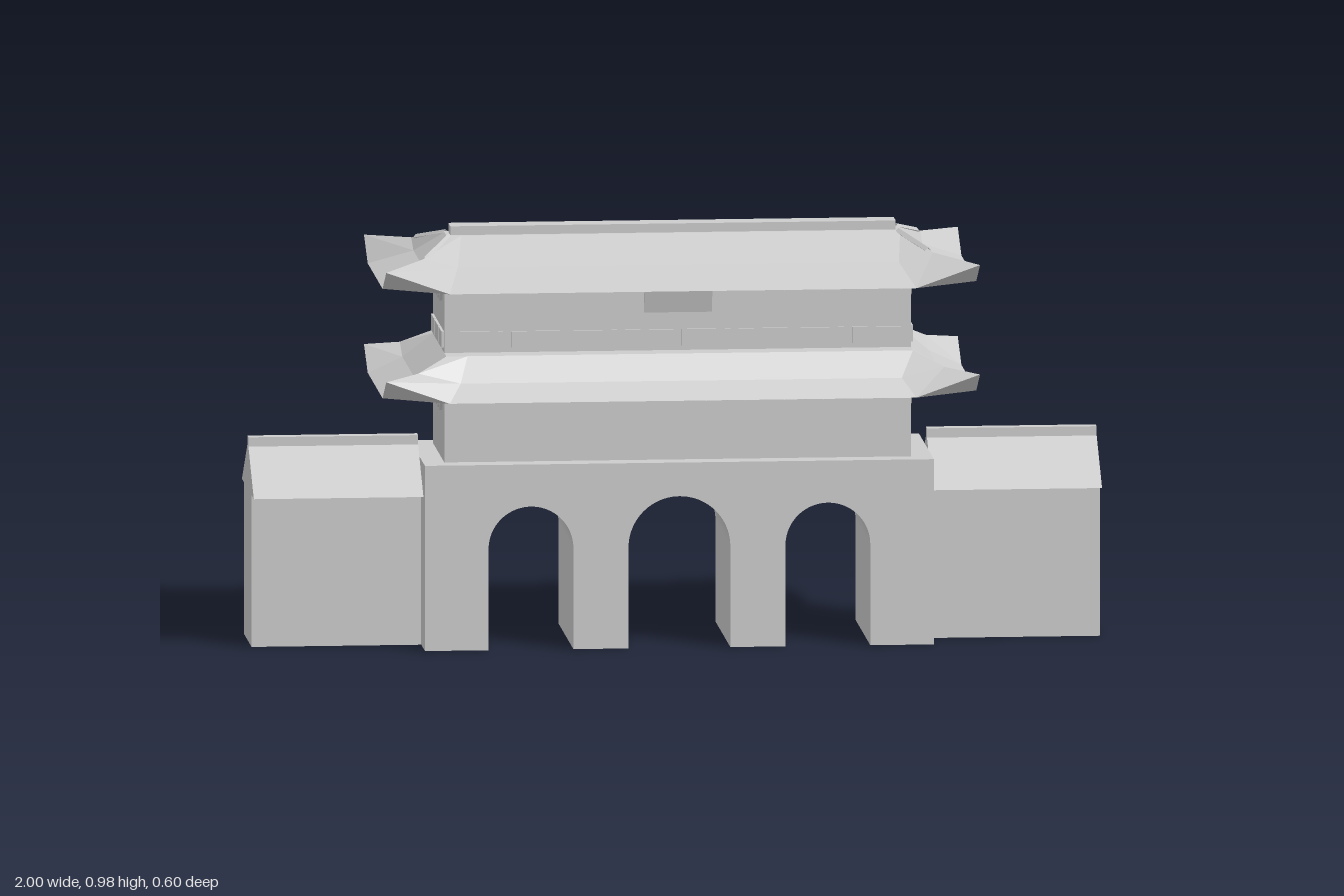
import * as THREE from 'three';
import { toCreasedNormals } from 'three/addons/utils/BufferGeometryUtils.js';

const material = new THREE.MeshStandardMaterial({ color: 0xcccccc, flatShading: true, side: THREE.DoubleSide });
const smooth = new THREE.MeshStandardMaterial({ color: 0xcccccc });

function add(parent, name, geometry, x = 0, y = 0, z = 0, mat = material) {
  const mesh = new THREE.Mesh(geometry, mat);
  mesh.name = name;
  mesh.position.set(x, y, z);
  parent.add(mesh);
  return mesh;
}

// Box given by its centre in x and z and its bottom and top heights
function block(parent, name, w, d, y0, y1, x = 0, z = 0) {
  return add(parent, name, new THREE.BoxGeometry(w, y1 - y0, d), x, (y0 + y1) / 2, z);
}

// Twelve points round a roof level: each lifted corner sits between two low points
function roofRing({ hx, hz, bx, bz, y, lift }) {
  const ring = [];
  for (const [sx, sz] of [[1, 1], [-1, 1], [-1, -1], [1, -1]]) {
    const side = [sx * hx, y, sz * bz];
    const corner = [sx * hx, y + lift, sz * hz];
    const face = [sx * bx, y, sz * hz];
    ring.push(...(sx * sz > 0 ? [side, corner, face] : [face, corner, side]));
  }
  return ring;
}

// Curved hip roof, skinned through its levels and closed above and below
function roofGeometry(levels) {
  const rings = levels.map(roofRing);
  const pos = [];
  const tri = (a, b, c) => pos.push(...a, ...b, ...c);
  const n = 12;
  for (let r = 0; r < rings.length - 1; r++) {
    for (let i = 0; i < n; i++) {
      const j = (i + 1) % n, lo = rings[r], hi = rings[r + 1];
      tri(lo[j], lo[i], hi[i]);
      tri(lo[j], hi[i], hi[j]);
    }
  }
  // Flat soffit with four upturned corner triangles
  const eave = rings[0], top = rings[rings.length - 1];
  const low = eave.filter((_, i) => i % 3 !== 1);
  low.forEach((p, i) => tri([0, levels[0].y, 0], p, low[(i + 1) % low.length]));
  for (let i = 0; i < n; i += 3) tri(eave[i], eave[i + 1], eave[i + 2]);
  const topY = levels[levels.length - 1].y;
  top.forEach((p, i) => tri([0, topY, 0], top[(i + 1) % n], p));
  const g = new THREE.BufferGeometry();
  g.setAttribute('position', new THREE.Float32BufferAttribute(pos, 3));
  g.computeVertexNormals();
  return g;
}

// Diamond brackets under the eaves on all four sides
function brackets(parent, y) {
  const group = new THREE.Group();
  group.name = 'eaveBrackets';
  const diamond = new THREE.CylinderGeometry(0.022, 0.022, 0.014, 4).rotateX(Math.PI / 2);
  for (const s of [-1, 1]) {
    for (let i = -11; i <= 11; i++) add(group, 'bracket', diamond, i * 0.046, y, s * 0.15);
    for (let i = -2; i <= 2; i++) add(group, 'bracket', diamond, s * 0.55, y, i * 0.046).rotation.y = Math.PI / 2;
  }
  parent.add(group);
}

export function createModel() {
  const model = new THREE.Group();
  model.name = 'gatehouse';

  // Stone base with three arched passages
  const outline = new THREE.Shape();
  outline.moveTo(-0.6, 0.44);
  outline.lineTo(-0.6, 0);
  for (const [cx, r] of [[-0.35, 0.1], [0, 0.12], [0.35, 0.1]]) {
    outline.lineTo(cx - r, 0);
    outline.lineTo(cx - r, 0.24);
    outline.absarc(cx, 0.24, r, Math.PI, 0, true);
    outline.lineTo(cx + r, 0);
  }
  outline.lineTo(0.6, 0);
  outline.lineTo(0.6, 0.44);
  const base = new THREE.ExtrudeGeometry(outline, { depth: 0.4, bevelEnabled: false, curveSegments: 24 });
  add(model, 'archedBase', toCreasedNormals(base, 0.6), 0, 0, -0.2, smooth);

  // Flanking walls with gabled caps
  const gable = new THREE.Shape([
    new THREE.Vector2(-0.16, 0.36), new THREE.Vector2(0.16, 0.36),
    new THREE.Vector2(0.015, 0.463), new THREE.Vector2(-0.015, 0.463),
  ]);
  const cap = new THREE.ExtrudeGeometry(gable, { depth: 0.4, bevelEnabled: false });
  cap.rotateY(Math.PI / 2).translate(-0.2, 0, 0);
  for (const s of [-1, 1]) {
    const wing = new THREE.Group();
    wing.name = s > 0 ? 'leftWall' : 'rightWall';
    wing.position.x = s * 0.8;
    block(wing, 'wall', 0.4, 0.2, 0, 0.361);
    add(wing, 'wallRoof', cap);
    block(wing, 'wallRidge', 0.4, 0.03, 0.455, 0.485);
    model.add(wing);
  }

  // Two storeys
  block(model, 'lowerStorey', 1.1, 0.3, 0.44, 0.602);
  block(model, 'upperStorey', 1.1, 0.3, 0.69, 0.864);
  brackets(model, 0.578);
  brackets(model, 0.838);

  // Window panels round the upper storey
  for (const s of [-1, 1]) {
    for (let i = 0; i < 8; i++) block(model, 'windowPanel', 0.115, 0.012, 0.711, 0.75, (i - 3.5) * 0.134, s * 0.15);
    for (const [z, d] of [[-0.1, 0.08], [0, 0.1], [0.1, 0.08]]) {
      block(model, 'windowPanel', 0.012, d, 0.711, 0.75, s * 0.55, z);
    }
  }

  // Roofs with upswept corners
  add(model, 'lowerRoof', roofGeometry([
    { hx: 0.7, hz: 0.3, bx: 0.55, bz: 0.2, y: 0.602, lift: 0.053 },
    { hx: 0.62, hz: 0.25, bx: 0.52, bz: 0.18, y: 0.642, lift: 0.025 },
    { hx: 0.55, hz: 0.205, bx: 0.5, bz: 0.16, y: 0.7, lift: 0 },
  ]));
  add(model, 'upperRoof', roofGeometry([
    { hx: 0.7, hz: 0.3, bx: 0.55, bz: 0.2, y: 0.862, lift: 0.053 },
    { hx: 0.6, hz: 0.17, bx: 0.52, bz: 0.11, y: 0.905, lift: 0.022 },
    { hx: 0.535, hz: 0.035, bx: 0.5, bz: 0.02, y: 0.961, lift: 0 },
  ]));
  block(model, 'mainRidge', 1.05, 0.056, 0.95, 0.982);

  // Short ribs along the upper hips
  for (const sx of [-1, 1]) for (const sz of [-1, 1]) {
    const path = new THREE.LineCurve3(
      new THREE.Vector3(sx * 0.53, 0.958, sz * 0.035), new THREE.Vector3(sx * 0.59, 0.929, sz * 0.155));
    add(model, 'hipRib', new THREE.TubeGeometry(path, 1, 0.008, 4));
  }

  // Tilted blank name board under the front eave
  const board = add(model, 'board', new THREE.BoxGeometry(0.16, 0.07, 0.006), 0, 0.826, 0.166);
  board.rotation.x = 0.25;
  return model;
}
